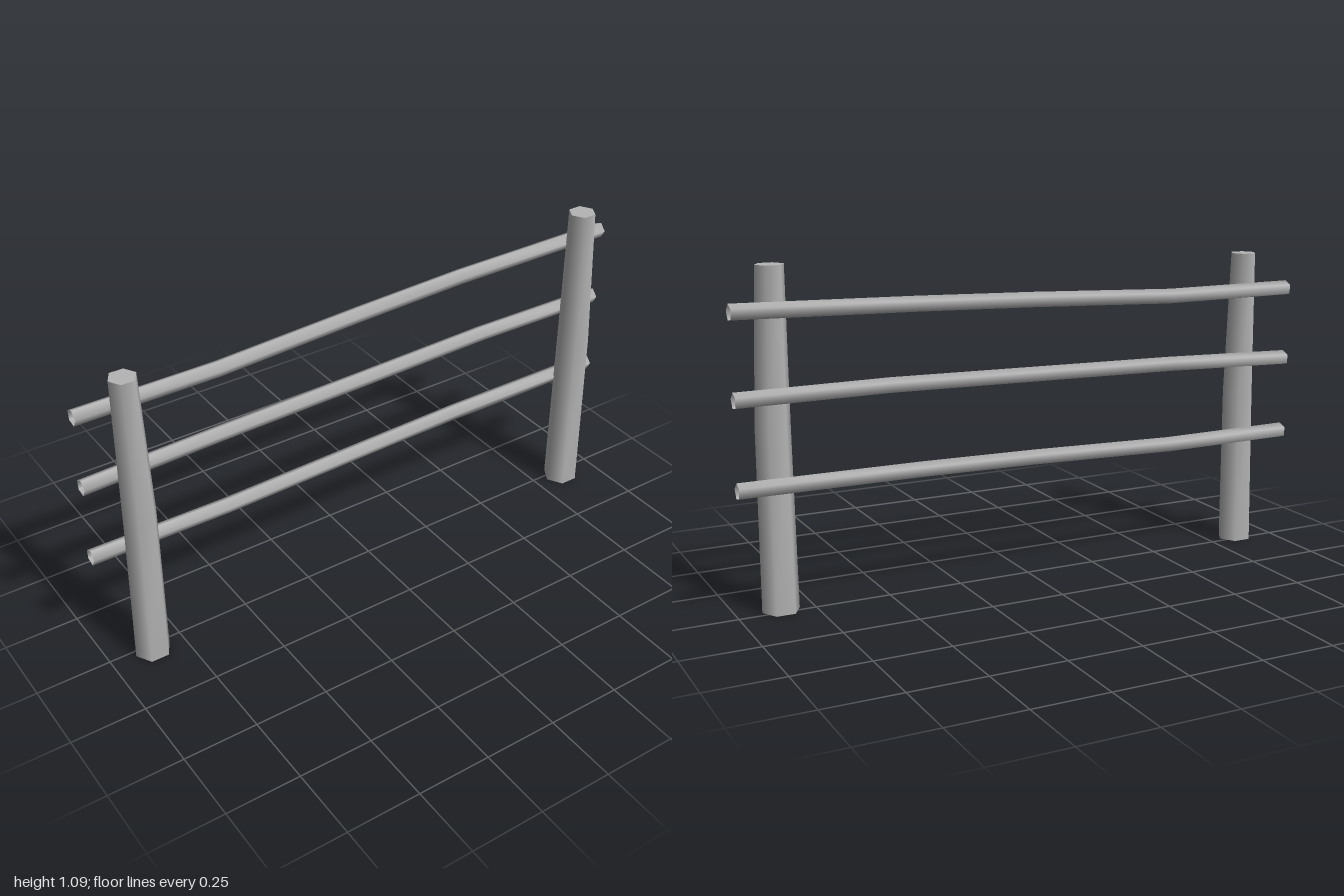
import * as THREE from 'three';

// Open smooth skin through a series of rings with equal point counts
function skin(rings) {
  const n = rings[0].length, index = [];
  for (let r = 0; r < rings.length - 1; r++) {
    for (let i = 0; i < n; i++) {
      const a = r * n + i, b = r * n + (i + 1) % n;
      index.push(a, a + n, b, b, a + n, b + n);
    }
  }
  const g = new THREE.BufferGeometry().setFromPoints(rings.flat());
  g.setIndex(index);
  g.computeVertexNormals();
  return g;
}

// Points round a circle; place(cos, sin) puts each one in space
const ring = (sides, start, place) => Array.from({ length: sides }, (_, i) => {
  const a = start + i * Math.PI * 2 / sides;
  return place(Math.cos(a), Math.sin(a));
});

export function createModel() {
  const group = new THREE.Group();
  const wood = new THREE.MeshStandardMaterial({ color: 0xb4b4b4, side: THREE.DoubleSide });
  wood.name = 'greyWood';

  const add = (name, geometry, parent) => {
    const mesh = new THREE.Mesh(geometry, wood);
    mesh.name = name;
    parent.add(mesh);
    return mesh;
  };

  // Six-sided tapering posts: [x, y, radius] for each ring
  const posts = {
    rightPost: [[-0.858, 0, 0.06], [-0.853, 0.54, 0.056], [-0.86, 1.04, 0.045]],
    leftPost: [[0.858, 0, 0.061], [0.862, 0.6, 0.057], [0.854, 1.09, 0.046]],
  };
  for (const [name, levels] of Object.entries(posts)) {
    const post = new THREE.Group();
    post.name = name;
    group.add(post);
    add(name + 'Shaft', skin(levels.map(([x, y, r]) =>
      ring(6, 0, (c, s) => new THREE.Vector3(x + r * c, y, 0.023 + r * s)))), post);
    // Flat top
    const [x, y, r] = levels[levels.length - 1];
    const top = add(name + 'Top', new THREE.CircleGeometry(r, 6), post);
    top.rotation.x = -Math.PI / 2;
    top.position.set(x, y, 0.023);
  }

  // Hollow, slightly bowed five-sided rails: [x, y, z] of each ring's centre
  const rails = {
    lowerRail: [[-1, 0.4, -0.045], [-0.52, 0.397, -0.045], [0, 0.411, -0.045],
      [0.4, 0.418, -0.048], [1, 0.419, -0.045]],
    middleRail: [[-1, 0.665, -0.046], [-0.52, 0.68, -0.046], [0, 0.69, -0.047],
      [0.5, 0.7, -0.05], [1, 0.697, -0.047]],
    upperRail: [[-1, 0.915, -0.045], [-0.52, 0.914, -0.046], [0, 0.936, -0.05],
      [0.4, 0.949, -0.052], [1, 0.961, -0.038]],
  };
  for (const [name, centres] of Object.entries(rails)) {
    add(name, skin(centres.map(([x, y, z]) =>
      ring(5, 1.36, (c, s) => new THREE.Vector3(x, y + 0.027 * s, z + 0.027 * c)))), group);
  }
  return group;
}
